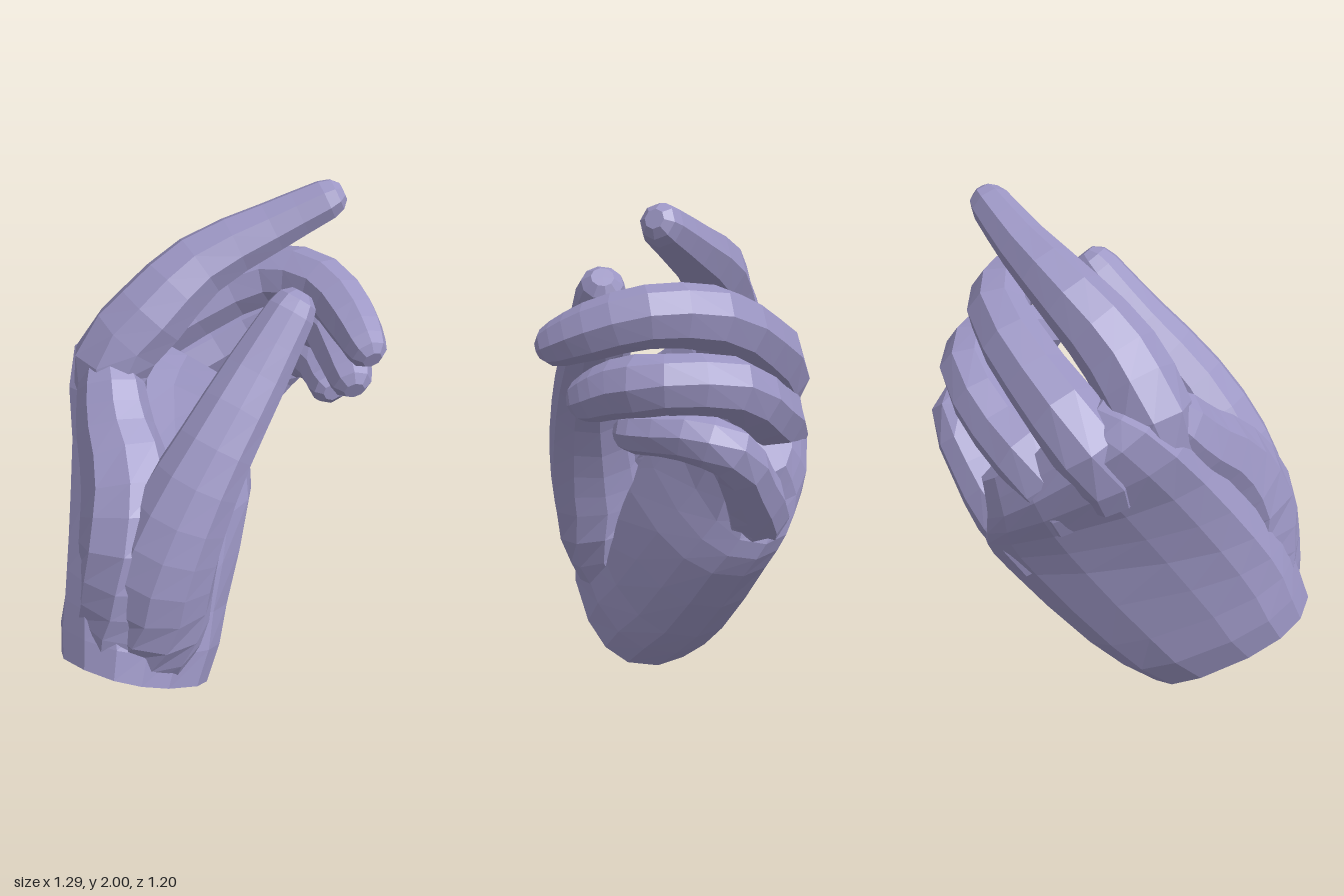
import * as THREE from 'three';

const skin = new THREE.MeshStandardMaterial({ color: 0x9c96c4, flatShading: true, side: THREE.DoubleSide });
const V = (a) => new THREE.Vector3(...a);
const spline = (rows) => new THREE.CatmullRomCurve3(rows.map(V));

// Joins rings { c, a, b } (centre and two half-axes) into a skin, closed at the far end.
function loft(name, rings, sides, power = 1) {
  const pos = [], idx = [];
  const bulge = (v) => Math.sign(v) * Math.abs(v) ** power;
  for (const { c, a, b } of rings) {
    for (let j = 0; j < sides; j++) {
      const t = ((j + 0.5) / sides) * Math.PI * 2;
      const p = c.clone().addScaledVector(a, bulge(Math.cos(t))).addScaledVector(b, bulge(Math.sin(t)));
      pos.push(p.x, p.y, p.z);
    }
  }
  for (let i = 0; i < rings.length - 1; i++) {
    for (let j = 0; j < sides; j++) {
      const k = (j + 1) % sides, p = i * sides, q = p + sides;
      idx.push(p + j, p + k, q + k, p + j, q + k, q + j);
    }
  }
  const last = (rings.length - 1) * sides, end = rings[rings.length - 1].c;
  pos.push(end.x, end.y, end.z);
  for (let j = 0; j < sides; j++) idx.push(last + j, last + ((j + 1) % sides), last + sides);
  const geo = new THREE.BufferGeometry();
  geo.setAttribute('position', new THREE.Float32BufferAttribute(pos, 3));
  geo.setIndex(idx);
  geo.computeVertexNormals();
  const mesh = new THREE.Mesh(geo, skin);
  mesh.name = name;
  return mesh;
}

// Tapering finger through joints [x, y, z, radius], with a domed tip.
const hinge = V([0.36, -0.72, -0.36]).normalize();
function finger(name, joints, sides = 8) {
  const path = spline(joints.map((j) => j.slice(0, 3)));
  const radius = spline(joints.map((j) => [j[3], 0, 0]));
  const steps = (joints.length - 1) * 2;
  const rings = [];
  const addRing = (t, scale, push) => {
    const dir = path.getTangent(t), r = radius.getPoint(t).x;
    const a = hinge.clone().cross(dir).normalize();
    const b = dir.clone().cross(a);
    rings.push({
      c: path.getPoint(t).addScaledVector(dir, push * r),
      a: a.multiplyScalar(r * scale), b: b.multiplyScalar(r * scale),
    });
  };
  for (let i = 0; i <= steps; i++) addRing(i / steps, 1, 0);
  addRing(1, 0.82, 0.55);
  addRing(1, 0.45, 0.88);
  return loft(name, rings, sides);
}

// Palm stations from the open wrist to the knuckles: centre, half width, half thickness.
function palm() {
  const stations = [
    [[-0.35, 0.20, 0.28], [0.22, -0.20, -0.22], [0.17, 0.01, 0.17]],
    [[-0.27, 0.42, 0.12], [0.28, -0.20, -0.30], [0.17, 0.01, 0.17]],
    [[-0.17, 0.70, -0.08], [0.36, -0.12, -0.37], [0.15, 0.00, 0.15]],
    [[-0.15, 0.92, -0.24], [0.34, -0.20, -0.30], [0.13, 0.00, 0.13]],
    [[-0.15, 1.13, -0.37], [0.29, -0.27, -0.18], [0.13, 0.00, 0.13]],
    [[-0.05, 1.21, -0.42], [0.22, -0.22, -0.13], [0.08, 0.00, 0.08]],
  ];
  const [centre, width, depth] = [0, 1, 2].map((k) => spline(stations.map((s) => s[k])));
  const rings = [];
  for (let i = 0; i <= 10; i++) {
    const t = i / 10;
    rings.push({ c: centre.getPoint(t), a: depth.getPoint(t), b: width.getPoint(t) });
  }
  return loft('palm', rings, 14, 0.8);
}

export function createModel() {
  const hand = new THREE.Group();
  hand.name = 'hand';
  hand.add(palm());

  // Pointing finger
  hand.add(finger('indexFinger', [
    [-0.36, 1.10, -0.12, 0.12], [-0.355, 1.36, -0.15, 0.155], [-0.20, 1.54, -0.17, 0.15],
    [0.00, 1.70, -0.23, 0.128], [0.28, 1.825, -0.255, 0.1], [0.49, 1.92, -0.255, 0.08],
  ]));

  // Curled fingers, rooted inside the palm
  hand.add(finger('middleFinger', [
    [-0.29, 1.04, -0.27, 0.12], [-0.285, 1.26, -0.37, 0.145], [0.00, 1.44, -0.40, 0.13],
    [0.30, 1.575, -0.36, 0.12], [0.47, 1.595, -0.19, 0.113], [0.54, 1.54, 0.00, 0.105],
    [0.565, 1.49, 0.12, 0.085],
  ]));
  hand.add(finger('ringFinger', [
    [-0.14, 0.90, -0.36, 0.11], [-0.12, 1.08, -0.445, 0.13], [0.12, 1.215, -0.49, 0.12],
    [0.36, 1.345, -0.465, 0.113], [0.52, 1.37, -0.28, 0.108], [0.54, 1.34, -0.10, 0.108],
    [0.545, 1.30, 0.00, 0.092],
  ]));
  hand.add(finger('littleFinger', [
    [0.03, 0.62, -0.39, 0.10], [0.13, 0.82, -0.48, 0.12], [0.29, 0.98, -0.505, 0.105],
    [0.43, 1.13, -0.49, 0.098], [0.49, 1.185, -0.34, 0.09], [0.50, 1.18, -0.15, 0.08],
  ]));

  // Thumb and the broad web of skin joining it to the wrist and index knuckle
  hand.add(finger('thumb', [
    [-0.31, 0.35, 0.30, 0.20], [-0.28, 0.54, 0.365, 0.215], [-0.25, 0.76, 0.39, 0.21],
    [-0.17, 0.98, 0.37, 0.185], [-0.03, 1.22, 0.30, 0.15], [0.14, 1.44, 0.18, 0.125],
    [0.285, 1.635, 0.09, 0.095],
  ], 10));
  hand.add(finger('thumbWeb', [
    [-0.42, 0.44, 0.36, 0.17], [-0.385, 0.62, 0.36, 0.19], [-0.36, 0.84, 0.33, 0.195],
    [-0.345, 1.02, 0.22, 0.18], [-0.37, 1.18, 0.05, 0.15], [-0.37, 1.30, -0.06, 0.13],
  ]));
  return hand;
}
